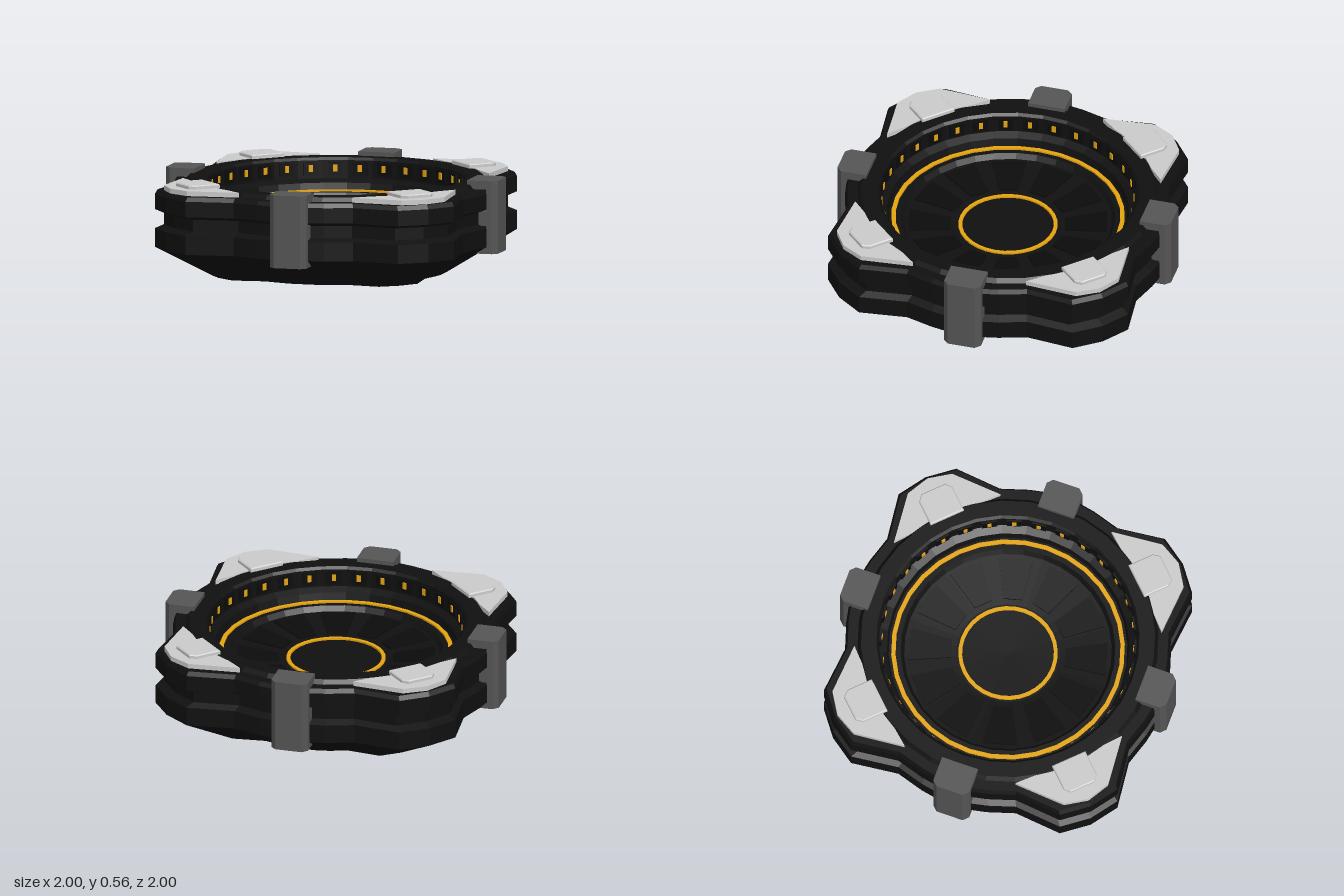
import * as THREE from 'three';

const mat = (color) => new THREE.MeshStandardMaterial({ color, flatShading: true, side: THREE.DoubleSide });

// Scalloped hull: one outline, scaled row by row from the bottom centre to the top deck
function hullGeometry() {
  const quarter = [[0.94, -0.1], [0.94, 0.1], [0.92, 0.2], [0.87, 0.36], [0.9, 0.64],
    [0.79, 0.79], [0.64, 0.9], [0.36, 0.87], [0.2, 0.92]];
  const outline = [];
  for (let q = 0; q < 4; q++) {
    const c = Math.round(Math.cos(q * Math.PI / 2)), s = Math.round(Math.sin(q * Math.PI / 2));
    for (const [x, z] of quarter) outline.push([x * c - z * s, x * s + z * c]);
  }
  // [height, outline scale]; the last row is a circle of the given radius
  const rows = [[0, 0], [0, 0.69], [0.18, 1], [0.29, 1], [0.31, 0.95], [0.38, 0.95],
    [0.4, 1], [0.49, 1], [0.515, 0.985], [0.515, 0.8]];
  const n = outline.length, pos = [], idx = [];
  rows.forEach(([y, k], j) => {
    for (const [x, z] of outline) {
      const f = j === rows.length - 1 ? k / Math.hypot(x, z) : k;
      pos.push(x * f, y, z * f);
    }
  });
  for (let j = 0; j < rows.length - 1; j++) {
    for (let i = 0; i < n; i++) {
      const a = j * n + i, b = j * n + (i + 1) % n;
      if (j > 0) idx.push(a, a + n, b);
      idx.push(b, a + n, b + n);
    }
  }
  const g = new THREE.BufferGeometry();
  g.setAttribute('position', new THREE.Float32BufferAttribute(pos, 3));
  g.setIndex(idx);
  g.computeVertexNormals();
  return g;
}

const lathe = (pts, sides) =>
  new THREE.LatheGeometry(pts.map(([r, y]) => new THREE.Vector2(r, y)), sides);

// Horizontal slab between two heights; outline points are (x, z)
function slab(pts, y0, y1, bevel = 0) {
  const shape = new THREE.Shape(pts.map(([x, z]) => new THREE.Vector2(x, -z)));
  const g = new THREE.ExtrudeGeometry(shape, {
    depth: y1 - y0 - bevel, bevelEnabled: bevel > 0, bevelThickness: bevel,
    bevelSize: bevel, bevelOffset: -bevel, bevelSegments: 1, curveSegments: 1,
  });
  return g.rotateX(-Math.PI / 2).translate(0, y0, 0);
}

export function createModel() {
  const model = new THREE.Group();
  const black = mat(0x101010), panel = mat(0x0b0b0b), steel = mat(0x555555);
  const grey = mat(0xcccccc), amber = mat(0xe6a510);
  const add = (name, geometry, material, parent = model) => {
    const m = new THREE.Mesh(geometry, material);
    m.name = name;
    parent.add(m);
    return m;
  };

  add('hull', hullGeometry(), black);

  // Raised rim, inner wall and dished floor
  add('bowl', lathe([[0.87, 0.515], [0.85, 0.54], [0.76, 0.54], [0.745, 0.525], [0.745, 0.42],
    [0.7, 0.4], [0.69, 0.355], [0.62, 0.355], [0.6, 0.325], [0.3, 0.295], [0, 0.29]], 32), black);

  // Glowing rings on the floor
  add('outerRing', lathe([[0.675, 0.35], [0.675, 0.365], [0.65, 0.365], [0.65, 0.35]], 32), amber);
  add('innerRing', lathe([[0.287, 0.285], [0.287, 0.305], [0.265, 0.305], [0.265, 0.285]], 32), amber);

  // Tapered floor panels between the rings
  const floorPanels = new THREE.Group();
  floorPanels.name = 'floorPanels';
  model.add(floorPanels);
  for (let i = 0; i < 12; i++) {
    const g = slab([[0.33, -0.055], [0.57, -0.1], [0.57, 0.1], [0.33, 0.055]], 0.292, 0.308);
    // follow the slope of the floor
    const p = g.attributes.position;
    for (let v = 0; v < p.count; v++) p.setY(v, p.getY(v) + (p.getX(v) - 0.33) * 0.1);
    add('floorPanel', g, panel, floorPanels).rotation.y = (i + 0.5) * Math.PI / 6;
  }

  // Framed lights around the inner wall
  const lights = new THREE.Group();
  lights.name = 'wallLights';
  model.add(lights);
  for (let i = 0; i < 32; i++) {
    const unit = new THREE.Group();
    unit.name = 'wallLight';
    unit.rotation.y = (i + 0.5) * Math.PI / 16;
    lights.add(unit);
    add('lightFrame', new THREE.BoxGeometry(0.015, 0.075, 0.085), panel, unit).position.set(0.737, 0.475, 0);
    add('light', new THREE.BoxGeometry(0.012, 0.04, 0.024), amber, unit).position.set(0.73, 0.48, 0);
  }

  for (let q = 0; q < 4; q++) {
    const turn = q * Math.PI / 2;

    // Clamp hooked over the rim, keyed into the groove
    const clamp = new THREE.Group();
    clamp.name = 'clamp';
    clamp.rotation.y = turn;
    model.add(clamp);
    const outer = (x) => [[x, -0.11], [0.97, -0.11], [1, -0.08], [1, 0.08], [0.97, 0.11], [x, 0.11]];
    add('clampTop', slab(outer(0.82), 0.515, 0.565), steel, clamp);
    add('clampFace', slab(outer(0.935), 0.14, 0.52), steel, clamp);
    add('clampFoot', slab([[0.87, -0.11], [0.94, -0.11], [0.94, 0.11], [0.87, 0.11]], 0.14, 0.18), steel, clamp);
    add('clampKey', new THREE.BoxGeometry(0.09, 0.085, 0.22), steel, clamp).position.set(0.92, 0.345, 0);

    // Corner plate with an arc cut along the rim, and a pad on top
    const corner = new THREE.Group();
    corner.name = 'corner';
    corner.rotation.y = turn;
    model.add(corner);
    const plate = [[0.82, 0.34], [0.845, 0.645], [0.77, 0.77], [0.645, 0.845], [0.34, 0.82]];
    for (let i = 1; i < 6; i++) {
      const a = (67.5 - i * 7.5) * Math.PI / 180;
      plate.push([0.855 * Math.cos(a), 0.855 * Math.sin(a)]);
    }
    add('cornerPlate', slab(plate, 0.512, 0.543), grey, corner);
    const pad = slab([[0.82, -0.106], [0.975, -0.106], [1.01, -0.077], [1.01, 0.077],
      [0.975, 0.106], [0.82, 0.106]], 0.535, 0.565, 0.006);
    add('cornerPad', pad, grey, corner).rotation.y = -Math.PI / 4;
  }
  return model;
}
